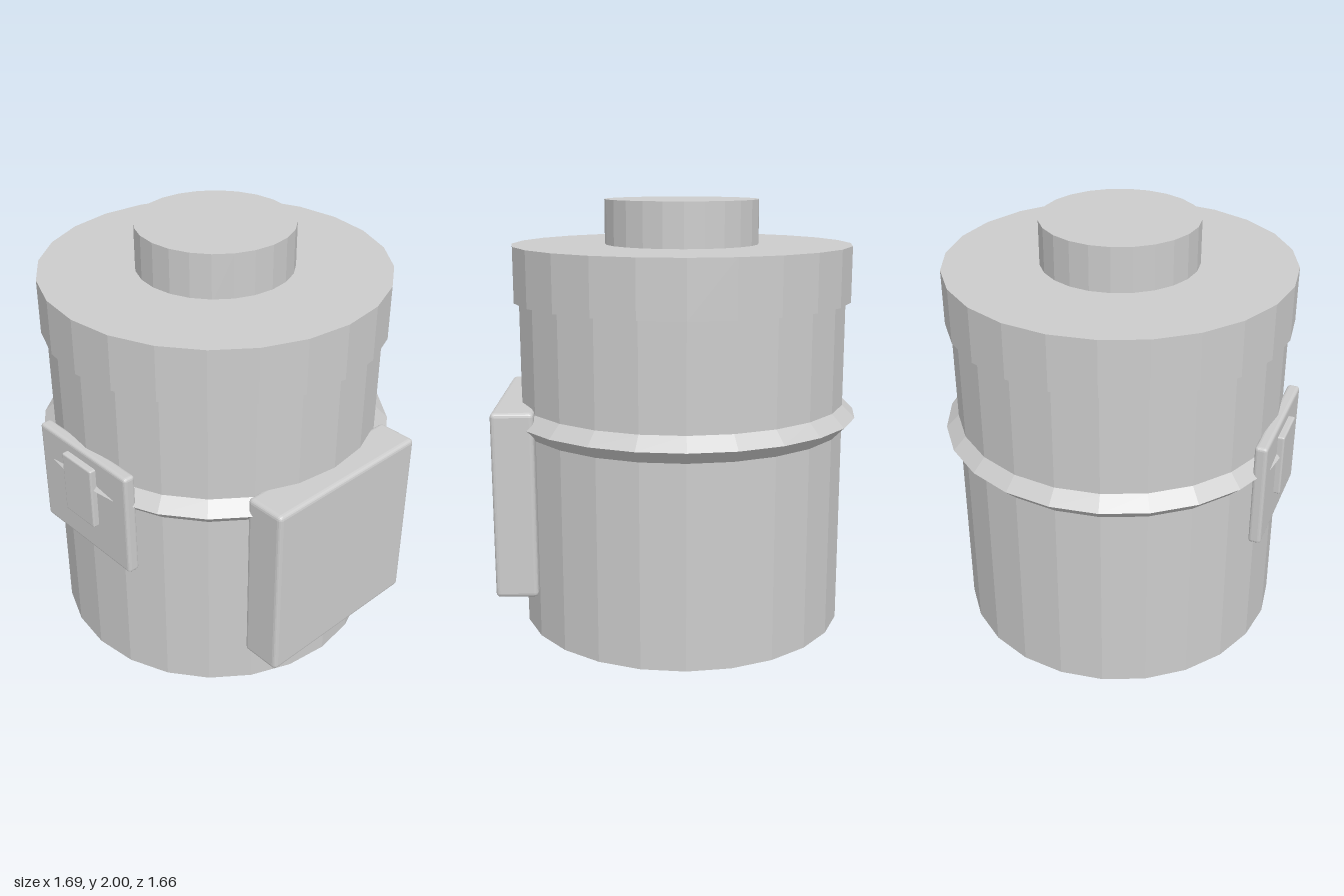
import * as THREE from 'three';
import { RoundedBoxGeometry } from 'three/addons/geometries/RoundedBoxGeometry.js';

export function createModel() {
  const group = new THREE.Group();
  group.name = 'canister';
  const grey = new THREE.MeshStandardMaterial({ color: 0xcccccc, flatShading: true });
  grey.name = 'light grey';

  const SIDES = 24;
  const AXIS_X = -0.02; // the side box shifts the round body off centre

  function add(name, geometry, x, y, z) {
    const mesh = new THREE.Mesh(geometry, grey);
    mesh.name = name;
    mesh.position.set(x, y, z);
    group.add(mesh);
    return mesh;
  }

  // Upright cylinder between two heights
  function drum(name, radius, y0, y1) {
    add(name, new THREE.CylinderGeometry(radius, radius, y1 - y0, SIDES), AXIS_X, (y0 + y1) / 2, 0);
  }

  // Softly bevelled box between two corners
  function box(name, [x0, y0, z0], [x1, y1, z1], bevel) {
    const geometry = new RoundedBoxGeometry(x1 - x0, y1 - y0, z1 - z0, 2, bevel);
    add(name, geometry, (x0 + x1) / 2, (y0 + y1) / 2, (z0 + z1) / 2);
  }

  // Stacked round parts
  drum('body', 0.77, 0, 1.56);
  drum('lid', 0.795, 1.54, 1.795);
  drum('knob', 0.36, 1.78, 2);

  // Diamond-section band around the body
  const band = add('band', new THREE.TorusGeometry(0.77, 0.06, 4, SIDES), AXIS_X, 1, 0);
  band.rotation.x = Math.PI / 2;

  // Front latch and side box
  box('latchPlate', [-0.325, 0.645, 0.742], [0.285, 1.155, 0.8], 0.015);
  box('latchTab', [-0.125, 0.8, 0.785], [0.08, 1.105, 0.83], 0.008);
  box('sideBox', [0.65, 0.21, -0.435], [0.845, 1.08, 0.435], 0.02);

  return group;
}
